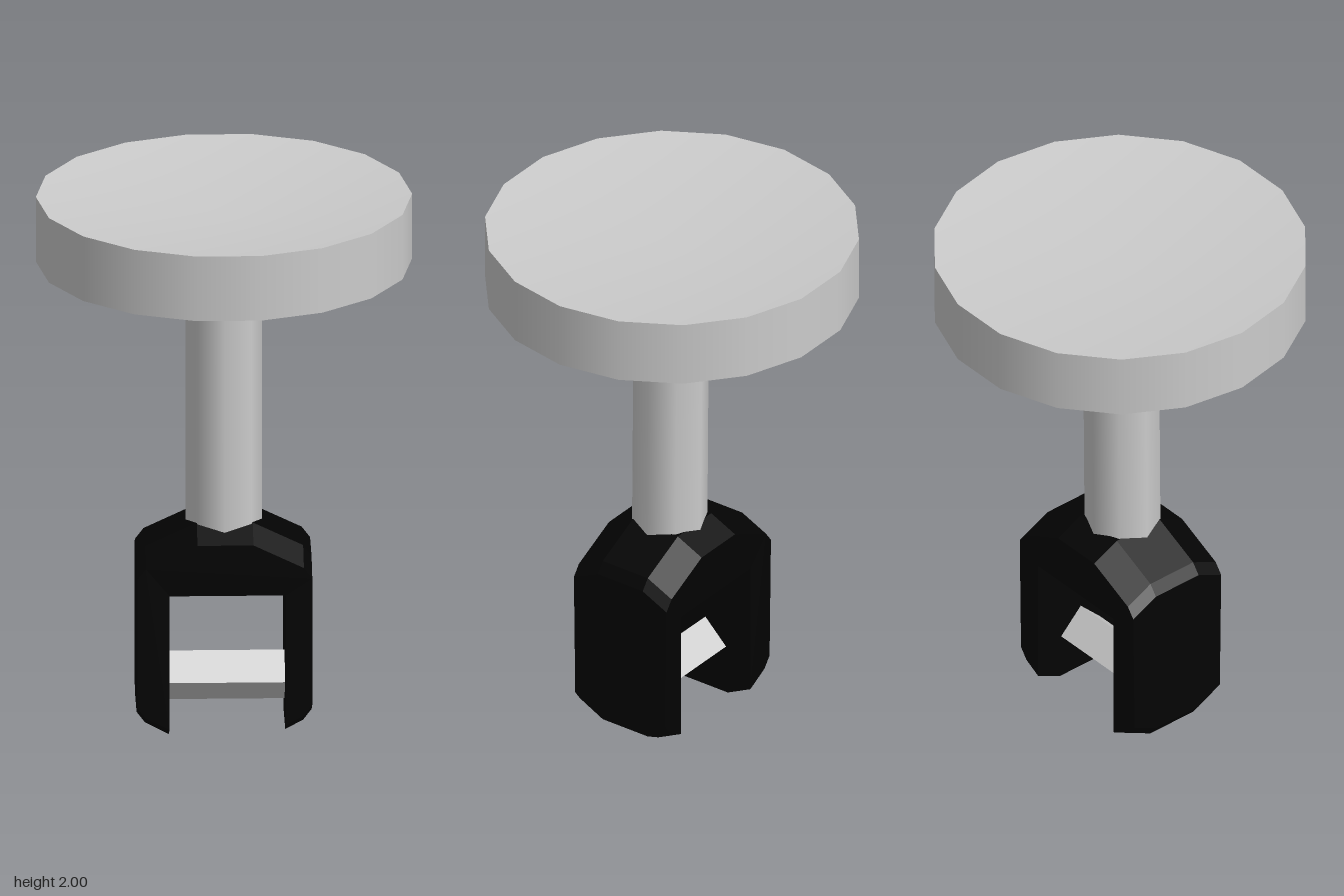
import * as THREE from 'three';

const grey = new THREE.MeshStandardMaterial({ color: 0xcccccc });
const greyFlat = new THREE.MeshStandardMaterial({ color: 0xcccccc, flatShading: true });
const black = new THREE.MeshStandardMaterial({ color: 0x030303, flatShading: true });

function addMesh(group, name, geometry, material) {
  const mesh = new THREE.Mesh(geometry, material);
  mesh.name = name;
  group.add(mesh);
  return mesh;
}

// Upside-down U with chamfered corners; its front and back rims are bevelled
function forkGeometry() {
  const outline = [
    [0.216, 0.015], [0.28, 0.05], [0.31, 0.09], [0.31, 0.67], [0.28, 0.71], [0.1, 0.797],
    [-0.1, 0.797], [-0.285, 0.71], [-0.315, 0.67], [-0.315, 0.085], [-0.285, 0.045], [-0.2, 0],
    [-0.2, 0.555], [0.216, 0.555],
  ];
  const shape = new THREE.Shape(outline.map(([x, y]) => new THREE.Vector2(x, y)));
  const geo = new THREE.ExtrudeGeometry(shape, { depth: 0.4, steps: 4, bevelEnabled: false });
  geo.translate(0, 0, -0.2);
  const pos = geo.attributes.position;
  for (let i = 0; i < pos.count; i++) {
    if (Math.abs(pos.getZ(i)) < 0.19) continue;
    const y = pos.getY(i);
    if (y < 0.2) pos.setY(i, y + 0.05);
    else if (y > 0.6) {
      // shoulders sink and flare slightly
      pos.setY(i, y - 0.05);
      pos.setZ(i, Math.sign(pos.getZ(i)) * 0.206);
    }
  }
  geo.computeVertexNormals();
  return geo;
}

// Round head, 18 sides with corners on the x axis; the top sinks to a shallow dish
function headGeometry(radius, height, dish) {
  const geo = new THREE.CylinderGeometry(radius, radius, height, 18, 1, false, Math.PI / 2);
  const { position, normal } = geo.attributes;
  const slope = dish / radius ** 2;
  const n = new THREE.Vector3();
  for (let i = 0; i < position.count; i++) {
    if (normal.getY(i) < 0.9) continue;
    const x = position.getX(i), z = position.getZ(i);
    if (Math.hypot(x, z) < 0.01) position.setY(i, height / 2 - dish);
    n.set(-x * slope, 1, -z * slope).normalize();
    normal.setXYZ(i, n.x, n.y, n.z);
  }
  return geo;
}

export function createModel() {
  const model = new THREE.Group();
  model.name = 'forkedKnob';

  const head = addMesh(model, 'head', headGeometry(0.672, 0.244, 0.075), grey);
  head.position.y = 1.878;

  // Octagonal stem with corners on the axes, leaning very slightly
  const stem = addMesh(model, 'stem', new THREE.CylinderGeometry(0.136, 0.136, 1.02, 8), grey);
  stem.position.set(-0.001, 1.25, 0.007);
  stem.rotation.x = -0.008;

  addMesh(model, 'fork', forkGeometry(), black);

  // Square pin between the prongs, turned onto its edge
  const pin = addMesh(model, 'pin', new THREE.BoxGeometry(0.418, 0.13, 0.13), greyFlat);
  pin.position.set(0.008, 0.189, 0);
  pin.rotation.x = Math.PI / 4;

  return model;
}
